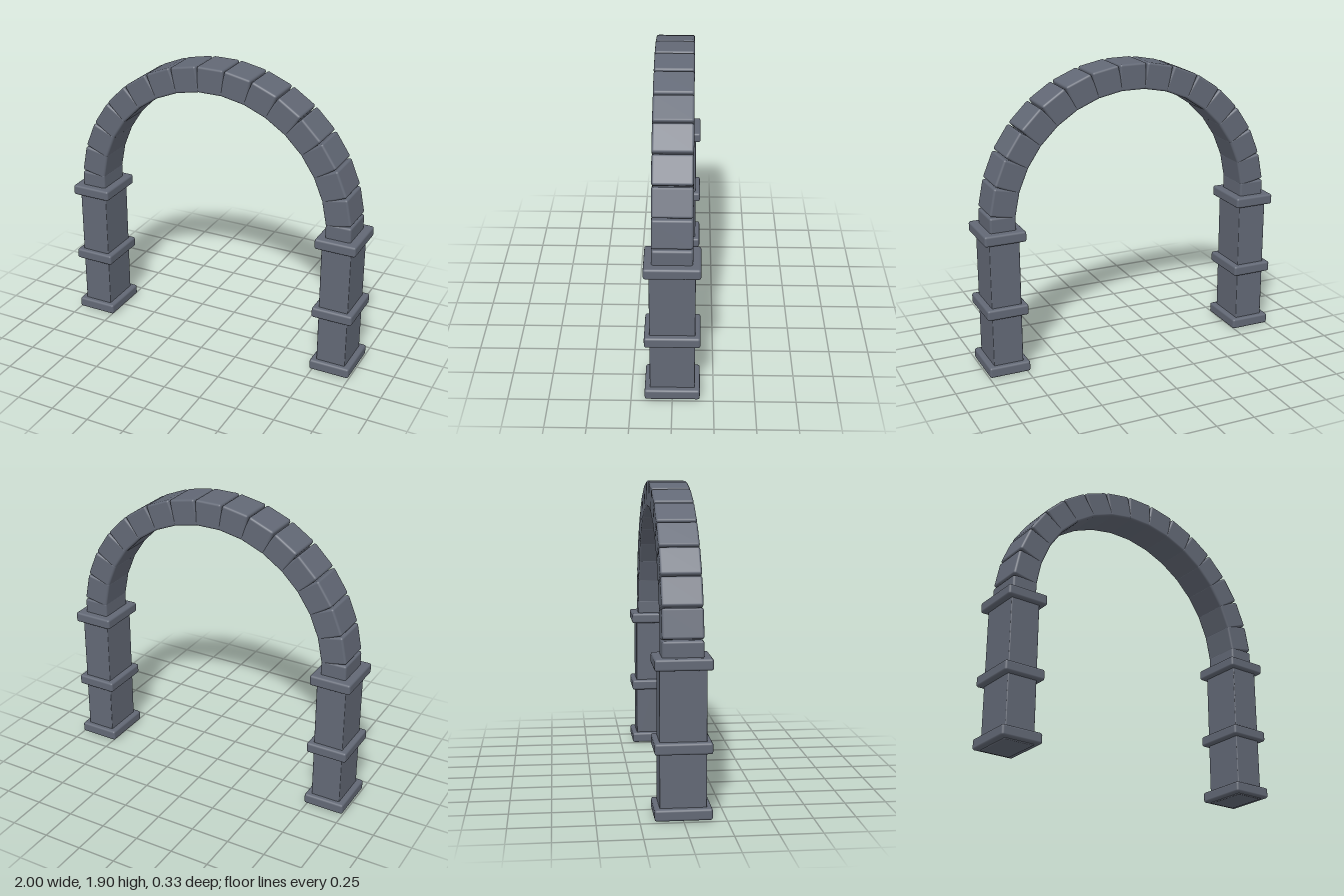
import * as THREE from 'three';
import { RoundedBoxGeometry } from 'three/addons/geometries/RoundedBoxGeometry.js';

export function createModel() {
  const model = new THREE.Group();
  model.name = 'stoneArch';
  const stone = new THREE.MeshStandardMaterial({ color: 0x626875 });
  stone.name = 'slate grey stone';

  const block = (name, w, h, d, bevel, parent) => {
    const mesh = new THREE.Mesh(new RoundedBoxGeometry(w, h, d, 2, bevel), stone);
    mesh.name = name;
    parent.add(mesh);
    return mesh;
  };

  // Two pillars, each a square shaft with three projecting bands
  const pillarX = 0.867;
  for (const [side, sign] of [['left', 1], ['right', -1]]) {
    const pillar = new THREE.Group();
    pillar.name = side + 'Pillar';
    pillar.position.x = sign * pillarX;
    model.add(pillar);
    block('shaft', 0.192, 0.92, 0.272, 0.006, pillar).position.y = 0.46;
    for (const [name, y] of [['baseBand', 0.041], ['middleBand', 0.428], ['topBand', 0.91]]) {
      block(name, 0.266, 0.068, 0.334, 0.014, pillar).position.y = y;
    }
  }

  // Half ring of straight-sided stones, overlapping on the inside;
  // the end stones sink into the top bands
  const arch = new THREE.Group();
  arch.name = 'arch';
  arch.position.y = 0.95;
  model.add(arch);
  const steps = 16, radius = 0.866;
  for (let i = 0; i <= steps; i++) {
    const angle = (i / steps - 0.5) * Math.PI;
    const name = i === steps / 2 ? 'keystone' : 'archStone' + (i + 1);
    const mesh = block(name, 0.176, 0.166, 0.24, 0.014, arch);
    mesh.position.set(Math.sin(angle) * radius, Math.cos(angle) * radius, 0);
    mesh.rotation.z = -angle;
  }
  return model;
}
